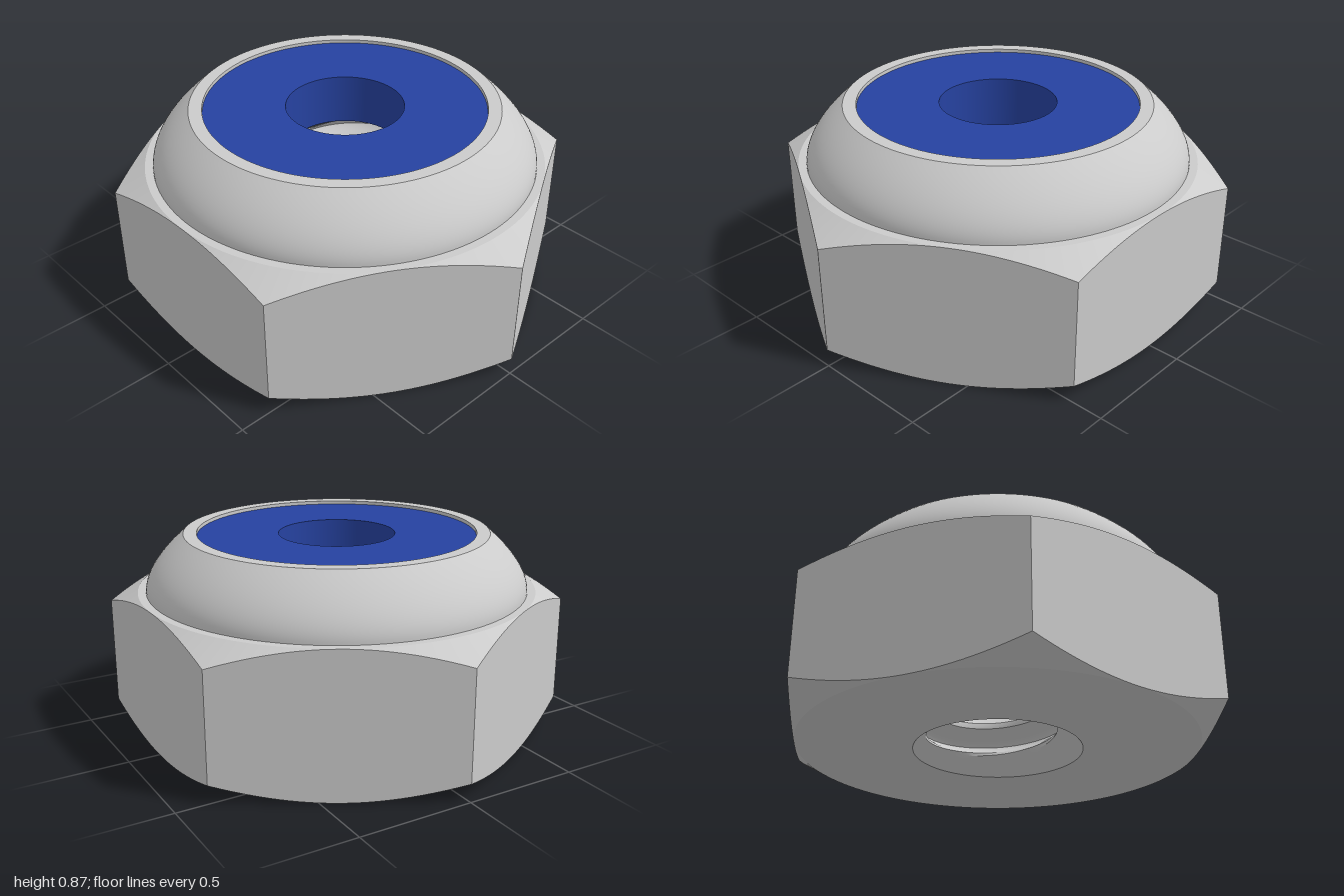
import * as THREE from 'three';
import { toCreasedNormals } from 'three/addons/utils/BufferGeometryUtils.js';

const SEGMENTS = 144;
const APOTHEM = Math.cos(Math.PI / 6);
const FLAT_R = APOTHEM - 0.001;   // circle where the corner chamfer starts
const HEX_H = 0.625;
const COLLAR_TOP = 0.868;
const POCKET_R = 0.605;
const BORE_R = 0.253;
const THREAD_R = 0.335;
const PITCH = 0.157;
const THREAD_STEPS = 12;

// Sweeps a profile of [radius, y] points, which may vary with angle, round the y axis.
function sweep(profileAt) {
  const positions = [], index = [];
  let count = 0;
  for (let i = 0; i <= SEGMENTS; i++) {
    const a = (i / SEGMENTS) * Math.PI * 2;
    const profile = profileAt(a);
    count = profile.length;
    for (const [r, y] of profile) positions.push(r * Math.cos(a), y, r * Math.sin(a));
  }
  for (let i = 0; i < SEGMENTS; i++) {
    for (let j = 0; j < count - 1; j++) {
      const p = i * count + j, q = p + count;
      index.push(p, p + 1, q, p + 1, q + 1, q);
    }
  }
  const geometry = new THREE.BufferGeometry();
  geometry.setAttribute('position', new THREE.Float32BufferAttribute(positions, 3));
  geometry.setIndex(index);
  return toCreasedNormals(geometry, 0.35);
}

// Hexagon with conical chamfers cutting its corners at both ends
function hexProfile(a) {
  const sector = Math.PI / 3;
  const r = APOTHEM / Math.cos((a % sector) - sector / 2);
  const cut = (r - FLAT_R) * Math.tan(Math.PI / 6);
  return [
    [0.366, 0], [FLAT_R, 0], [r, cut],
    [r, HEX_H - cut], [FLAT_R, HEX_H], [0.82, HEX_H],
  ];
}

// Rounded collar, flat rim and the pocket that holds the insert
function collarProfile() {
  const curve = new THREE.QuadraticBezierCurve(
    new THREE.Vector2(0.83, HEX_H),
    new THREE.Vector2(0.83, 0.725),
    new THREE.Vector2(0.662, COLLAR_TOP)
  );
  return [
    ...curve.getPoints(16).map((p) => [p.x, p.y]),
    [POCKET_R, COLLAR_TOP], [POCKET_R, HEX_H], [THREAD_R, HEX_H],
  ];
}

// Helical V thread, opened by a countersink at the bottom
function threadProfile(a) {
  const points = [];
  const turn = a / (Math.PI * 2);
  for (let k = 5 * THREAD_STEPS; k >= -2 * THREAD_STEPS; k--) {
    const y = THREE.MathUtils.clamp(PITCH * (k / THREAD_STEPS + turn), 0, HEX_H);
    const phase = THREE.MathUtils.euclideanModulo(y / PITCH - turn, 1);
    const ramp = THREE.MathUtils.clamp(Math.abs(phase - 0.5) * 2.6 - 0.2, 0, 1);
    const r = BORE_R + (THREAD_R - BORE_R) * ramp;
    points.push([Math.max(r, 0.366 - y), y]);
  }
  return points;
}

// Ring-shaped insert, seated just below the rim
function insertProfile() {
  const top = COLLAR_TOP - 0.015, bottom = HEX_H + 0.003;
  return [
    [BORE_R, bottom], [POCKET_R - 0.001, bottom],
    [POCKET_R - 0.001, top], [BORE_R, top], [BORE_R, bottom],
  ];
}

export function createModel() {
  const group = new THREE.Group();
  group.name = 'lockNut';
  const steel = new THREE.MeshStandardMaterial({ color: 0xcccccc });
  const nylon = new THREE.MeshStandardMaterial({ color: 0x2642a0 });

  const add = (name, profileAt, material) => {
    const mesh = new THREE.Mesh(sweep(profileAt), material);
    mesh.name = name;
    group.add(mesh);
  };
  add('hexBody', hexProfile, steel);
  add('collar', collarProfile, steel);
  add('thread', threadProfile, steel);
  add('insert', insertProfile, nylon);
  return group;
}
